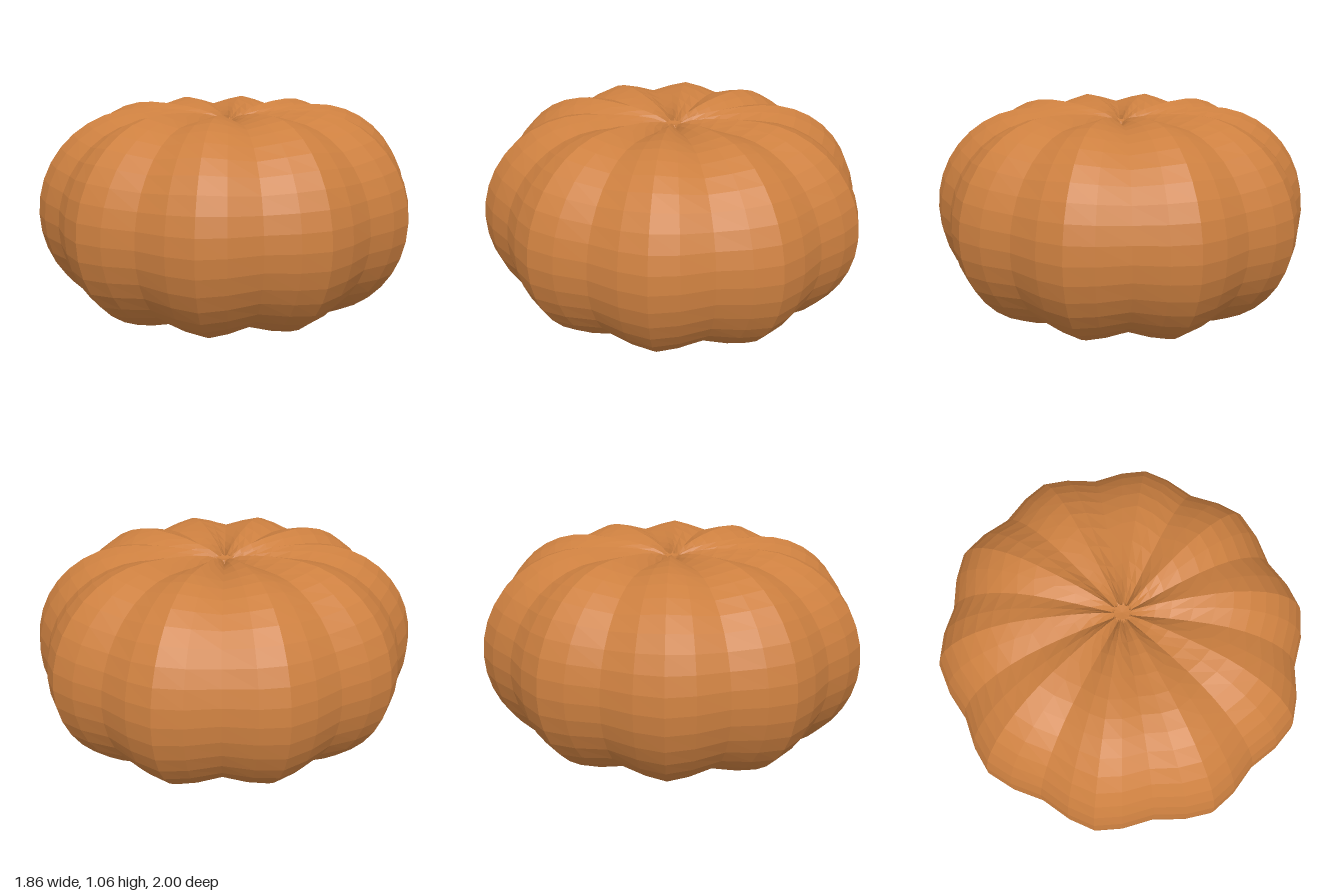
import * as THREE from 'three';

const LOBES = 10;
const HALF_HEIGHT = 0.53;
const X_SCALE = 0.968;

// Upper half of the ridge profile: [radius, height above middle, groove depth]
function upperProfile() {
  const rows = [
    [0, 0.455, 0], [0.04, 0.46, 0.0], [0.055, 0.47, 0.03], [0.1, 0.488, 0.042],
    [0.17, 0.504, 0.044], [0.25, 0.517, 0.043], [0.36, 0.527, 0.041],
  ];
  const steps = 9;
  for (let i = 0; i <= steps; i++) {
    const t = Math.PI / 2 * (1 - i / steps);
    rows.push([0.47 + 0.53 * Math.cos(t), HALF_HEIGHT * Math.sin(t), 0.04 * Math.sin(t)]);
  }
  return rows;
}

// Azimuth columns: ridge, shoulder, groove, shoulder for every lobe
function lobeColumns() {
  const cols = [];
  for (let l = 0; l <= LOBES; l++) {
    for (const [deg, k] of [[0, 0], [8.2, 0.4], [18, 1], [27.8, 0.4]]) {
      cols.push([(l * 36 + deg) * Math.PI / 180, k]);
      if (l === LOBES) break;
    }
  }
  return cols;
}

function ribbedBody() {
  const top = upperProfile();
  const bottom = top.slice(0, -1).reverse().map(([r, h, d]) => [r, -h, -d]);
  const rows = [...top, ...bottom];
  const cols = lobeColumns();
  const positions = [];
  for (const [r, h, d] of rows) {
    for (const [a, k] of cols) {
      const R = r * (1 - 0.06 * k);
      positions.push(X_SCALE * R * Math.sin(a), HALF_HEIGHT + h - d * k, R * Math.cos(a));
    }
  }
  const index = [];
  const n = cols.length;
  for (let i = 0; i < rows.length - 1; i++) {
    for (let j = 0; j < n - 1; j++) {
      const a = i * n + j, b = a + n, c = b + 1, e = a + 1;
      if (i < rows.length - 2) index.push(a, b, c);
      if (i > 0) index.push(a, c, e);
      if (i === rows.length - 2) index.push(a, b, e);
    }
  }
  // the last ring closes on the pole with single triangles
  const tail = (rows.length - 2) * n;
  const clean = [];
  for (let i = 0; i < index.length; i += 3) {
    const tri = index.slice(i, i + 3);
    if (tri[0] >= tail && tri[1] >= tail + n && tri[2] >= tail + n) continue;
    if (tri[0] >= tail && tri[1] >= tail + n && tri[2] < tail + n) clean.push(...tri);
    else if (tri[0] < tail) clean.push(...tri);
  }
  const g = new THREE.BufferGeometry();
  g.setAttribute('position', new THREE.Float32BufferAttribute(positions, 3));
  g.setIndex(clean);
  const flat = g.toNonIndexed();
  flat.computeVertexNormals();
  return flat;
}

export function createModel() {
  const orange = new THREE.MeshStandardMaterial({ color: 0xcd8040, flatShading: true });
  orange.name = 'pumpkin orange';
  const group = new THREE.Group();
  group.name = 'pumpkin';
  const body = new THREE.Mesh(ribbedBody(), orange);
  body.name = 'ribbedBody';
  group.add(body);
  return group;
}
